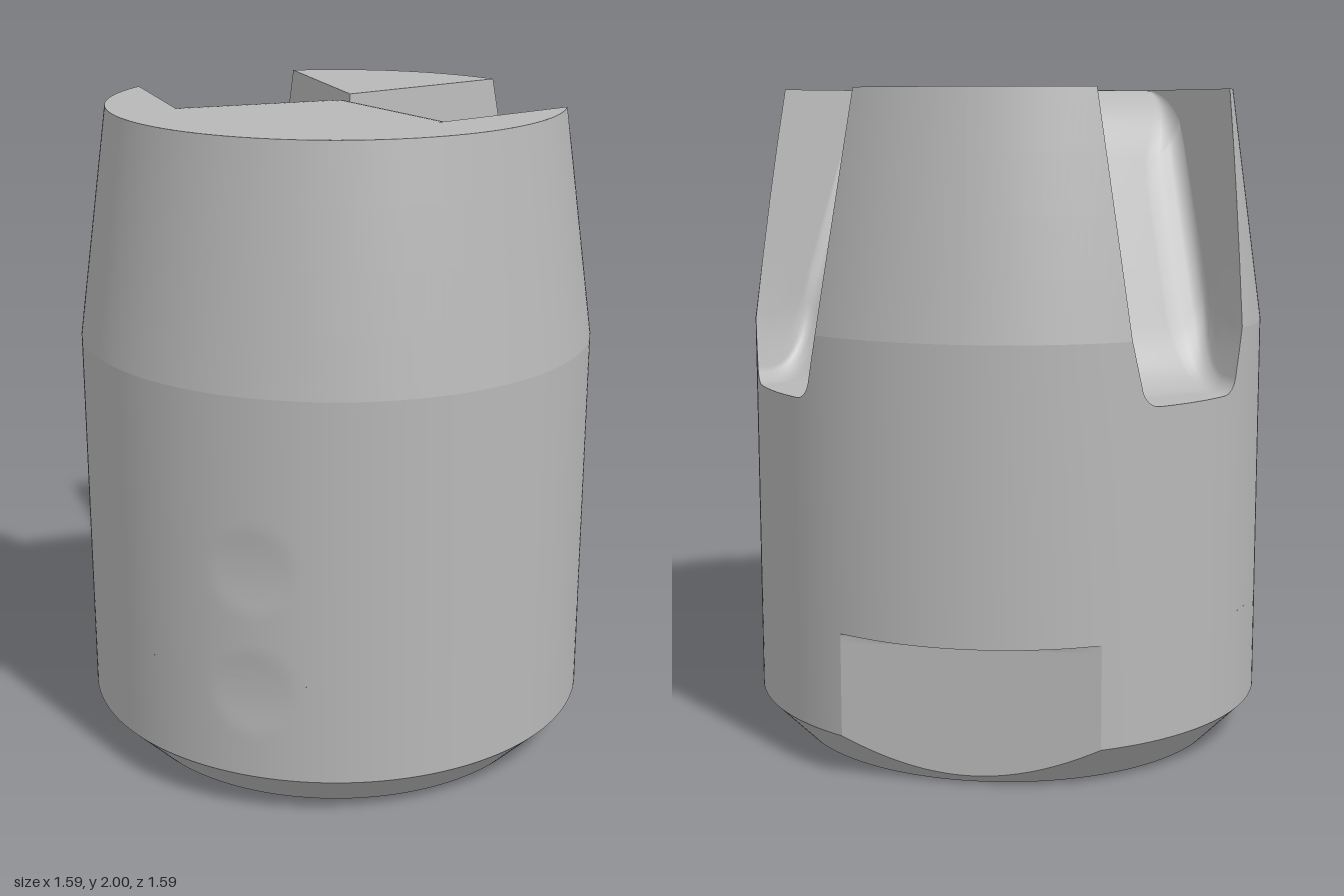
import * as THREE from 'three';
import { toCreasedNormals } from 'three/addons/utils/BufferGeometryUtils.js';

const R = 0.793, R_TOP = 0.695, R_BASE = 0.67;   // body, top and base radii
const H = 2, SHOULDER = 1.3, CHAMFER = 0.125;    // heights
const FLAT = 0.695, LEDGE = 0.435;               // flat cut at the back
const MID = 0.205;                               // sideways offset of each slot
const lerp = THREE.MathUtils.lerp;

// Body radius at a height, with two shallow dimples on the front
function radius(y, theta = Math.PI) {
  if (y > SHOULDER) return lerp(R, R_TOP, (y - SHOULDER) / (H - SHOULDER));
  let r = R;
  for (const cy of [0.4, 0.78]) {
    const d = Math.hypot(theta * R, y - cy) / 0.13;
    r -= 0.008 * Math.max(0, 1 - d * d);
  }
  return r;
}

const polar = (r, theta, y) => new THREE.Vector3(r * Math.sin(theta), y, r * Math.cos(theta));

// Smooth surface through rows of points
function grid(rows) {
  const n = rows[0].length, index = [];
  for (let i = 0; i < rows.length - 1; i++) {
    for (let j = 0; j < n - 1; j++) {
      const a = i * n + j, d = a + n;
      index.push(a, a + 1, d + 1, a, d + 1, d);
    }
  }
  const geo = new THREE.BufferGeometry().setFromPoints(rows.flat());
  geo.setIndex(index);
  geo.computeVertexNormals();
  return geo;
}

// Root of an increasing function
function solve(fn, lo, hi) {
  if (fn(lo) >= 0) return lo;
  for (let k = 0; k < 40; k++) {
    const m = (lo + hi) / 2;
    if (fn(m) < 0) lo = m; else hi = m;
  }
  return hi;
}

// Slot floor along its length: rounded lip, steep ramp, fillet, level end
const V2 = (x, y) => new THREE.Vector2(x, y);
const profile = [
  ...new THREE.QuadraticBezierCurve(V2(0, H), V2(0.14, H), V2(0.23, 1.79)).getPoints(14),
  ...new THREE.LineCurve(V2(0.23, 1.79), V2(0.44, 1.3)).getPoints(6).slice(1),
  ...new THREE.QuadraticBezierCurve(V2(0.44, 1.3), V2(0.52, 1.11), V2(0.64, 1.11)).getPoints(12).slice(1),
];
function floorAt(s) {
  const i = profile.findIndex((p) => p.x >= s);
  if (i < 0) return 1.11;
  if (i === 0) return H;
  const a = profile[i - 1], b = profile[i];
  return lerp(a.y, b.y, (s - a.x) / (b.x - a.x));
}
const halfWidth = (y) => 0.23 + (y > SHOULDER ? 0.086 : 0.25) * (y - SHOULDER);

// Slot cross-section columns: drafted wall, fillet, floor, fillet, wall
const wallCols = [1, 0.8, 0.6, 0.4, 0.175, 0.08].map((w) => ({ w, up: 1, inset: 0 }));
const filletCols = [90, 68, 45, 22].map((deg) => {
  const a = THREE.MathUtils.degToRad(deg);
  return { w: 0, up: 1 - Math.cos(a), inset: 1 - Math.sin(a) };
});
const edge = [...wallCols, ...filletCols];
const columns = [
  ...edge.map((c) => ({ ...c, side: -1 })),
  ...Array.from({ length: 25 }, (_, k) => ({ w: 0, up: 0, inset: 1, side: k / 12 - 1 })),
  ...edge.map((c) => ({ ...c, side: 1 })).reverse(),
];

// Point of a column at distance s along the slot
function section(c, s) {
  const y0 = floorAt(s);
  const slope = (floorAt(Math.max(0, s - 0.01)) - floorAt(s + 0.01)) / 0.02;
  const f = Math.min(0.045 * Math.hypot(1, slope), (H - y0) * 0.5);
  const y = y0 + f * c.up + (H - y0 - f) * c.w;
  const t = MID + c.side * (halfWidth(y) - f * c.inset);
  return { t, y, p: new THREE.Vector3(0.6 * s + 0.8 * t, y, -0.8 * s + 0.6 * t) };
}

export function createModel() {
  const group = new THREE.Group();
  const steel = new THREE.MeshStandardMaterial({ color: 0xb8b8b8 });
  steel.name = 'plain grey';
  const add = (name, geo) => {
    const mesh = new THREE.Mesh(geo, steel);
    mesh.name = name;
    group.add(mesh);
    return mesh;
  };

  // Slots, each running from the centre plane to the outer skin
  const spans = columns.map((c) => [
    solve((s) => section(c, s).p.x, 0, 0.4),
    solve((s) => {
      const { t, y } = section(c, s);
      return s - Math.sqrt(Math.max(0, radius(y) ** 2 - t * t));
    }, 0.2, 0.85),
  ]);
  const slotRows = [...profile.map((p) => p.x), 1].map((s) =>
    columns.map((c, j) => section(c, Math.min(Math.max(s, spans[j][0]), spans[j][1])).p));
  add('leftSlot', grid(slotRows));
  add('rightSlot', grid(slotRows.map((row) =>
    row.map((p) => new THREE.Vector3(-p.x, p.y, p.z)).reverse())));

  // Skin columns follow the slot mouths
  const mouth = slotRows[slotRows.length - 1]
    .map((p) => ({ theta: Math.atan2(p.x, p.z), top: p.y })).reverse();
  const frontEnd = mouth[0].theta, backEnd = mouth[mouth.length - 1].theta;
  const half = [];
  for (let i = 0; i < 64; i++) half.push({ theta: frontEnd * i / 64, top: H });
  half.push(...mouth);
  for (let i = 1; i <= 16; i++) half.push({ theta: lerp(backEnd, Math.PI, i / 16), top: H });
  const skin = [...half.slice(1).map((c) => ({ theta: -c.theta, top: c.top })).reverse(), ...half];
  const skinRows = (n, from, to) => Array.from({ length: n + 1 }, (_, k) =>
    skin.map((c) => {
      const y = lerp(from(c), to(c), k / n);
      return polar(radius(y, c.theta), c.theta, y);
    }));
  const shoulder = (c) => Math.min(SHOULDER, c.top);
  add('body', grid(skinRows(36, () => LEDGE, shoulder)));
  add('taperedHead', grid(skinRows(4, shoulder, (c) => c.top)));

  // Lower body, back flat, ledge and base chamfer
  const flatAngle = Math.acos(FLAT / R);
  const lowRadius = (th) => {
    const back = -Math.cos(th);
    return back > 0 ? Math.min(R, FLAT / back) : R;
  };
  const chamferTop = (r) => CHAMFER * (r - R_BASE) / (R - R_BASE);
  const angles = (from, to, n) => Array.from({ length: n + 1 }, (_, i) => lerp(from, to, i / n));
  const round = angles(-Math.PI + flatAngle, Math.PI - flatAngle, 180);
  const rear = angles(Math.PI - flatAngle, Math.PI + flatAngle, 32);
  add('lowerBody', grid(angles(CHAMFER, LEDGE, 14).map((y) =>
    round.map((th) => polar(radius(y, th), th, y)))));
  add('backFlat', grid([0, 1].map((k) => rear.map((th) => {
    const r = lowRadius(th);
    return polar(r, th, lerp(chamferTop(r), LEDGE - 0.025, k));
  }))));
  add('flatLedge', grid([[0, 0.025], [0.03, 0.01], [0.09, 0.003], [0.22, 0], [1, 0]].map(([k, drop]) =>
    rear.map((th) => polar(lerp(lowRadius(th), R, k), th, LEDGE - drop)))));
  add('baseChamfer', grid([0, 1].map((k) => [...round, ...rear.slice(1)].map((th) => {
    const r = lerp(R_BASE, lowRadius(th), k);
    return polar(r, th, chamferTop(r));
  }))));

  // Top faces in front of and between the slots
  const topFace = (name, pts) => {
    const geo = new THREE.ShapeGeometry(new THREE.Shape(pts.map((p) => V2(p.x, -p.z))));
    add(name, geo.rotateX(-Math.PI / 2)).position.y = H;
  };
  const arc = (from, to) => angles(from, to, 64).map((th) => polar(R_TOP, th, H));
  const corner = slotRows[0][columns.length - 1];
  topFace('frontTop', [...arc(-frontEnd, frontEnd), corner,
    new THREE.Vector3(), new THREE.Vector3(-corner.x, H, corner.z)]);
  topFace('wedgeTop', [...arc(backEnd, 2 * Math.PI - backEnd), slotRows[0][0]]);

  // Base with three countersunk blind holes
  const base = new THREE.Shape().absarc(0, 0, R_BASE, 0, Math.PI * 2);
  for (const [x, z, r] of [[0.47, -0.23, 0.105], [-0.03, -0.46, 0.087], [-0.47, 0.21, 0.102]]) {
    base.holes.push(new THREE.Path().absarc(x, z, r, 0, Math.PI * 2, true));
    const bore = r - 0.017;
    const hole = new THREE.LatheGeometry(
      [V2(0, 0.25), V2(bore, 0.25), V2(bore, 0.017), V2(r, 0)], 48);
    add('baseHole', toCreasedNormals(hole, 0.5)).position.set(x, 0, z);
  }
  add('base', new THREE.ShapeGeometry(base, 96).rotateX(Math.PI / 2));

  return group;
}
